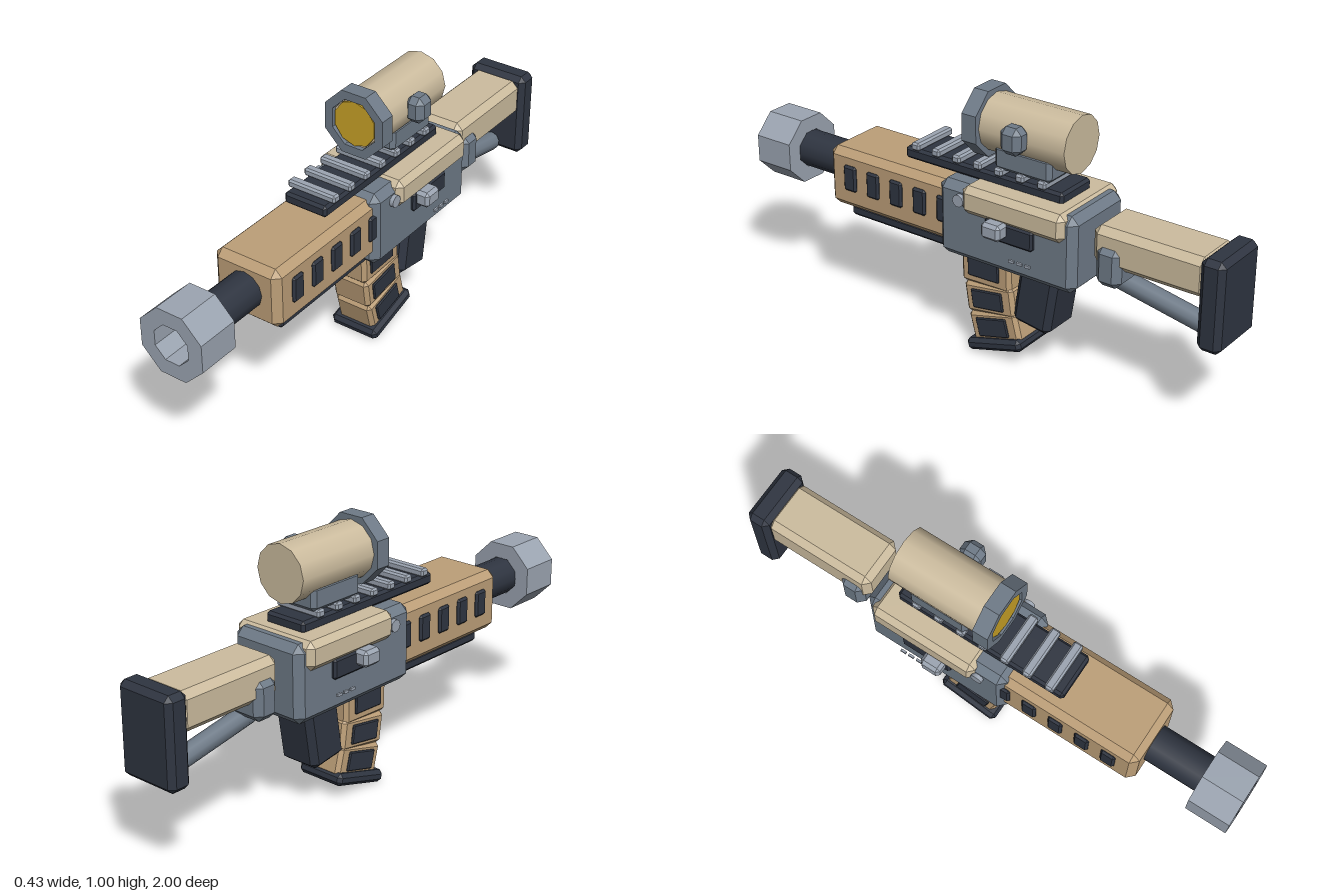
import * as THREE from 'three';
import { ConvexGeometry } from 'three/addons/geometries/ConvexGeometry.js';

const colours = {
  sand: 0xcdbd9f, tan: 0xbd9f78, steel: 0x6f7b88,
  silver: 0x9ca5b2, charcoal: 0x2f3541, amber: 0xc9a227,
};

export function createModel() {
  const root = new THREE.Group();
  const mats = {};
  for (const [name, hex] of Object.entries(colours)) {
    mats[name] = new THREE.MeshStandardMaterial({ color: hex });
    mats[name].name = name;
  }

  const add = (name, geo, mat, x = 0, y = 0, z = 0, rx = 0, parent = root) => {
    const m = new THREE.Mesh(geo, mats[mat]);
    m.name = name;
    m.position.set(x, y, z);
    m.rotation.x = rx;
    parent.add(m);
    return m;
  };

  // Box with every edge cut by a chamfer c
  const block = (w, h, d, c) => {
    const pts = [];
    for (const sx of [-1, 1]) for (const sy of [-1, 1]) for (const sz of [-1, 1])
      for (let k = 0; k < 3; k++) {
        pts.push(new THREE.Vector3(
          sx * (w / 2 - (k === 0 ? 0 : c)),
          sy * (h / 2 - (k === 1 ? 0 : c)),
          sz * (d / 2 - (k === 2 ? 0 : c))));
      }
    return new ConvexGeometry(pts);
  };

  // Chamfered box given by its limits: half width, y range, z range
  const span = (name, mat, hw, y0, y1, z0, z1, c) =>
    add(name, block(hw * 2, y1 - y0, z1 - z0, c), mat, 0, (y0 + y1) / 2, (z0 + z1) / 2);

  // Regular polygon outline with flat sides on the axes
  const polygon = (Type, n, apothem) => {
    const r = apothem / Math.cos(Math.PI / n), pts = [];
    for (let i = 0; i < n; i++) {
      const a = (i + 0.5) * 2 * Math.PI / n;
      pts.push(new THREE.Vector2(r * Math.cos(a), r * Math.sin(a)));
    }
    return new Type(pts);
  };
  const octagonRing = (outer, inner, depth) => {
    const shape = polygon(THREE.Shape, 8, outer);
    shape.holes.push(polygon(THREE.Path, 8, inner));
    return new THREE.ExtrudeGeometry(shape, { depth, bevelEnabled: false });
  };
  const rod = (r, len, n) => new THREE.CylinderGeometry(r, r, len, n).rotateX(Math.PI / 2);

  // Receiver and top cover
  span('receiver', 'steel', 0.155, 0.398, 0.685, -0.46, 0.115, 0.028);
  span('topCover', 'sand', 0.177, 0.59, 0.694, -0.425, 0, 0.022);

  // Handguard, barrel and muzzle
  span('handguard', 'tan', 0.135, 0.435, 0.665, 0.08, 0.635, 0.026);
  span('lowerRail', 'charcoal', 0.095, 0.388, 0.435, 0.08, 0.57, 0.012);
  add('barrel', rod(0.07, 0.3, 12), 'charcoal', 0, 0.555, 0.74);
  add('muzzle', octagonRing(0.125, 0.068, 0.16), 'silver', 0, 0.555, 0.84);

  // Mirrored side details
  for (const s of [-1, 1]) {
    for (let i = 0; i < 5; i++)
      add('vent', block(0.03, 0.1, 0.058, 0.008), 'charcoal', s * 0.13, 0.56, 0.53 - i * 0.107);
    add('sidePort', block(0.04, 0.075, 0.2, 0.008), 'charcoal', s * 0.15, 0.562, -0.2);
    add('sideHandle', block(0.09, 0.06, 0.08, 0.012), 'silver', s * 0.17, 0.575, -0.155);
    add('pin', new THREE.CylinderGeometry(0.023, 0.023, 0.04, 10).rotateZ(Math.PI / 2),
      'silver', s * 0.15, 0.63, 0.012);
    for (let i = 0; i < 3; i++)
      add('sideMark', new THREE.BoxGeometry(0.008, 0.01, 0.022), 'silver',
        s * 0.179, 0.475, -0.225 - i * 0.033);
  }

  // Top rail with cross teeth
  span('topRail', 'charcoal', 0.087, 0.685, 0.73, -0.365, 0.31, 0.01);
  for (let i = 0; i < 7; i++)
    add('railTooth', block(0.196, 0.03, 0.036, 0.007), 'silver', 0, 0.742, 0.257 - i * 0.09);

  // Scope
  span('scopeMount', 'steel', 0.09, 0.748, 0.84, -0.315, -0.08, 0.015);
  const tube = new THREE.CylinderGeometry(0.105, 0.105, 0.375, 12).rotateX(Math.PI / 2);
  add('scopeTube', tube, 'sand', 0, 0.885, -0.1925);
  add('scopeRing', octagonRing(0.12, 0.088, 0.06), 'steel', 0, 0.885, -0.03);
  add('lensRim', rod(0.093, 0.03, 8).rotateZ(Math.PI / 8), 'sand', 0, 0.885, 0);
  add('lens', rod(0.086, 0.009, 10), 'amber', 0, 0.885, 0.019);
  add('scopeKnob', block(0.075, 0.1, 0.085, 0.022), 'steel', 0.12, 0.893, -0.188);

  // Curved front magazine in three tilted segments
  const segments = [[0.34, -0.035, 0.03, 0.14], [0.223, -0.052, 0.15, 0.12], [0.12, -0.075, 0.26, 0.115]];
  for (const [y, z, tilt, h] of segments) {
    const seg = new THREE.Group();
    seg.name = 'magazineSegment';
    seg.position.set(0, y, z);
    seg.rotation.x = tilt;
    root.add(seg);
    add('segmentBody', block(0.156, h, 0.215, 0.014), 'tan', 0, 0, 0, 0, seg);
    for (const s of [-1, 1])
      add('segmentPanel', block(0.016, 0.072, 0.135, 0.004), 'charcoal', s * 0.077, 0, 0.005, 0, seg);
  }
  add('magazineBase', block(0.198, 0.046, 0.245, 0.014), 'charcoal', 0, 0.056, -0.083, 0.28);

  // Rear grip
  add('rearGrip', block(0.17, 0.32, 0.16, 0.022), 'charcoal', 0, 0.328, -0.254, -0.15);

  // Stock, collar, strut and butt pad
  span('stock', 'sand', 0.1, 0.515, 0.66, -0.93, -0.49, 0.025);
  span('stockCollar', 'steel', 0.118, 0.45, 0.6, -0.612, -0.512, 0.025);
  add('stockStrut', rod(0.036, 0.36, 10), 'steel', 0, 0.407, -0.72, -0.187);
  span('buttPad', 'charcoal', 0.12, 0.34, 0.675, -1, -0.91, 0.02);

  return root;
}
